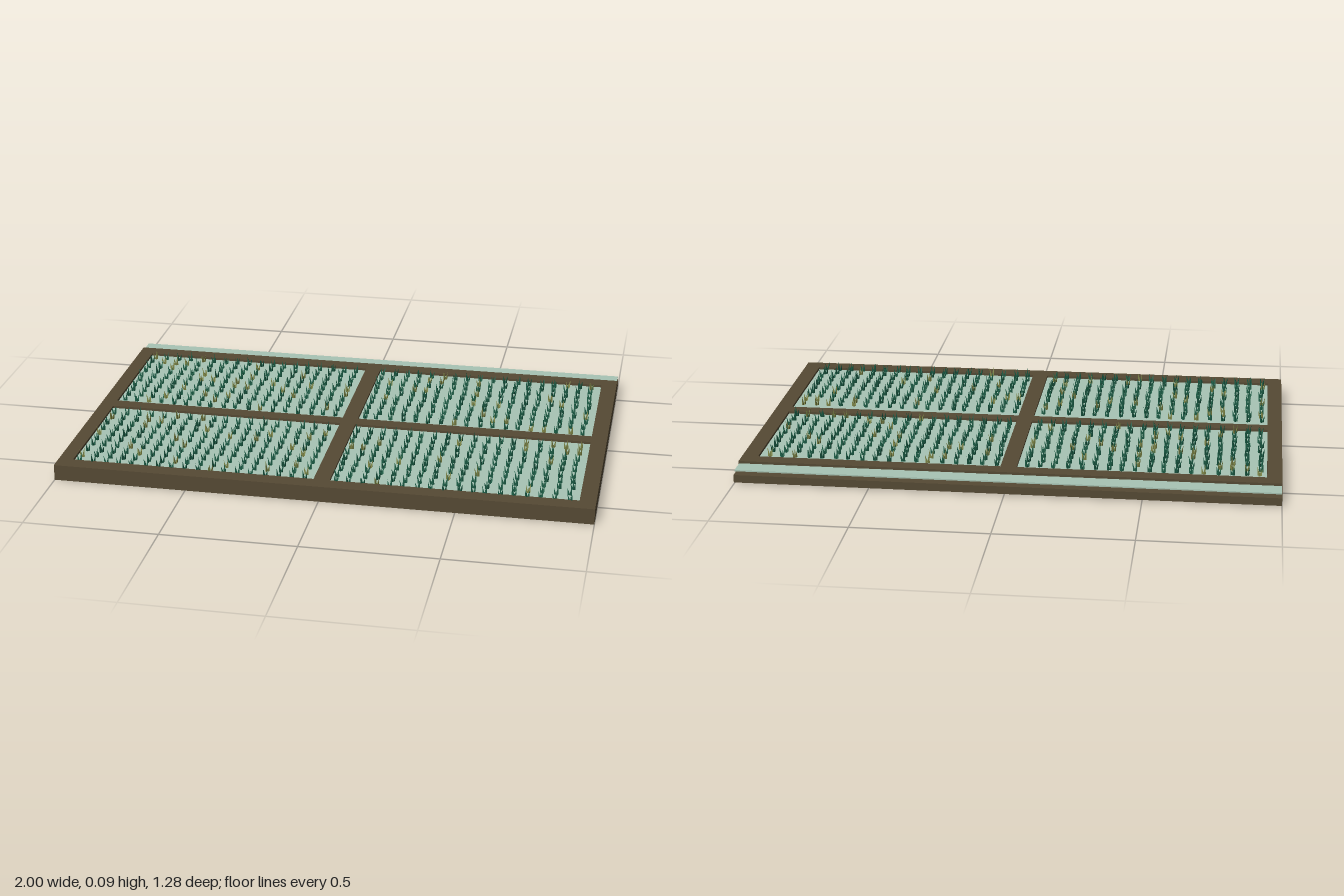
import * as THREE from 'three';
import { mergeGeometries } from 'three/addons/utils/BufferGeometryUtils.js';

const material = (name, color) => Object.assign(new THREE.MeshStandardMaterial({ color, flatShading: true }), { name });

function seeded(seed) {
  return () => {
    seed = (seed * 1664525 + 1013904223) % 4294967296;
    return seed / 4294967296;
  };
}

export function createModel() {
  const group = new THREE.Group();
  const earth = material('earth brown', 0x564a34);
  const water = material('pale water', 0xa8c5b5);
  const greens = [material('rice green', 0x1b5c45), material('olive green', 0x7c8446)];

  const add = (name, geometry, mat) => {
    const mesh = new THREE.Mesh(geometry, mat);
    mesh.name = name;
    group.add(mesh);
  };
  const box = (name, x0, x1, y0, y1, z0, z1, mat) => add(name,
    new THREE.BoxGeometry(x1 - x0, y1 - y0, z1 - z0)
      .translate((x0 + x1) / 2, (y0 + y1) / 2, (z0 + z1) / 2), mat);

  // Soil slab with a step at the back, and the water sheet over it
  box('soilStep', -1, 1, 0.006, 0.035, -0.64, -0.5, earth);
  box('soilBed', -0.99, 0.99, 0, 0.035, -0.55, 0.63, earth);
  box('waterSheet', -0.998, 0.998, 0.046, 0.051, -0.63, 0.62, water);

  // Raised banks around four paddies, cut from one plate
  const plate = new THREE.Shape([[-1, -0.64], [1, -0.64], [1, 0.56], [-1, 0.56]].map(p => new THREE.Vector2(...p)));
  for (const [x0, x1] of [[-0.945, -0.03], [0.03, 0.94]]) {
    for (const [z0, z1] of [[-0.502, 0.01], [0.065, 0.578]]) {
      plate.holes.push(new THREE.Path([[x0, -z0], [x0, -z1], [x1, -z1], [x1, -z0]].map(p => new THREE.Vector2(...p))));
    }
  }
  add('banks', new THREE.ExtrudeGeometry(plate, { depth: 0.06, bevelEnabled: false }).rotateX(-Math.PI / 2), earth);

  // One tuft: three slender blades leaning outward, the first one tallest
  const blades = [0.038, 0.034, 0.031].map((height, i) =>
    new THREE.ConeGeometry(0.0055, height, 3, 1, true)
      .translate(0, height / 2, 0).rotateZ(-0.2).translate(0.004, 0, 0).rotateY(i * Math.PI * 2 / 3));
  const tuft = mergeGeometries(blades);

  // Rows of seedlings with slight jitter
  const rand = seeded(7);
  const plants = [[], []];
  for (const x0 of [-0.92, 0.05]) {
    for (const z0 of [-0.47, 0.122]) {
      for (let col = 0; col < 18; col++) {
        for (let row = 0; row < 10; row++) {
          const scale = 0.9 + rand() * 0.12;
          const copy = tuft.clone().scale(1, scale, 1).rotateY(rand() * Math.PI * 2).translate(
            x0 + col * 0.0503 + (rand() - 0.5) * 0.008, 0.05, z0 + row * 0.0502 + (rand() - 0.5) * 0.008);
          plants[rand() < 0.14 ? 1 : 0].push(copy);
        }
      }
    }
  }
  plants.forEach((list, i) => add(i ? 'oliveSeedlings' : 'greenSeedlings', mergeGeometries(list), greens[i]));
  return group;
}
